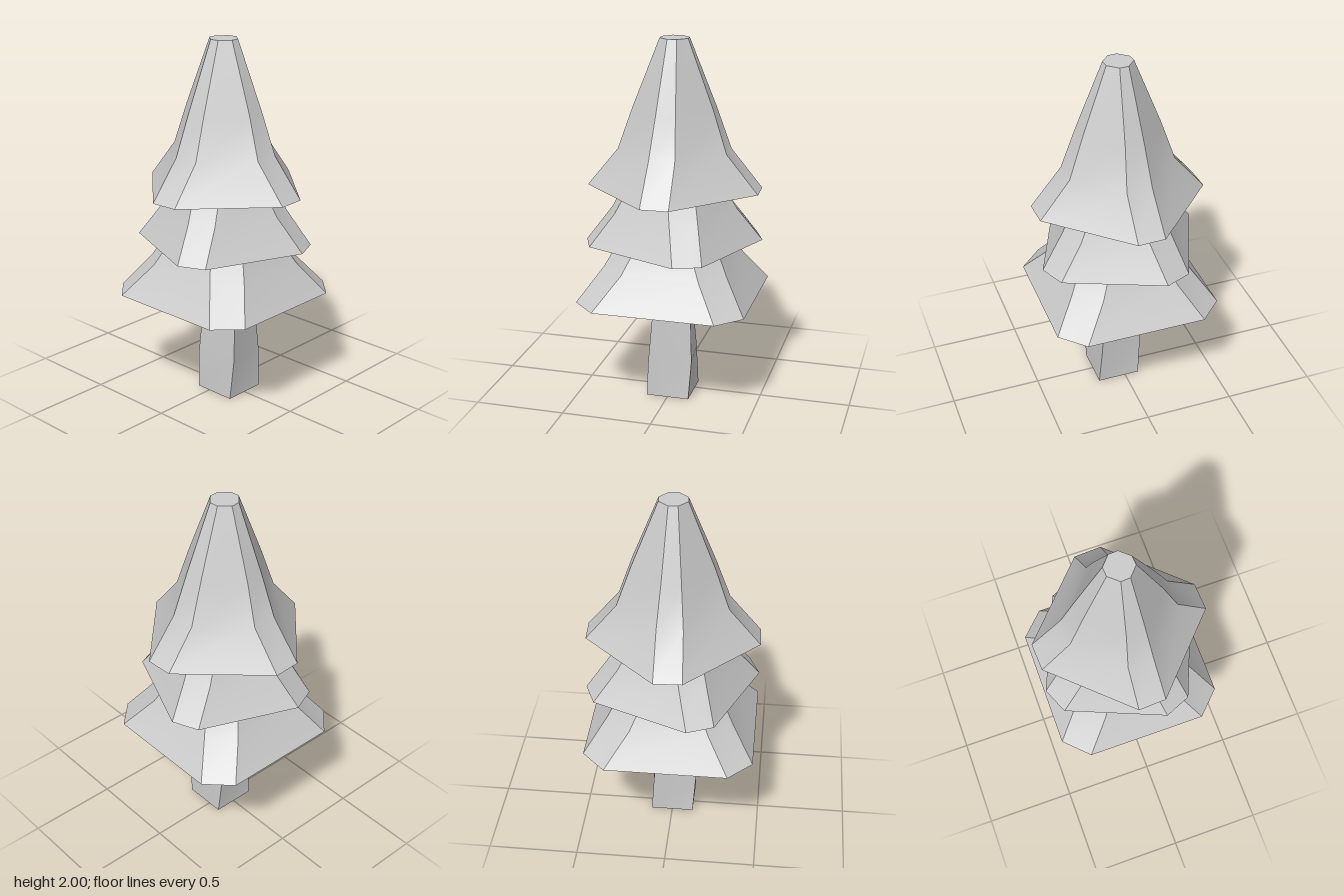
import * as THREE from 'three';
import { toCreasedNormals } from 'three/addons/utils/BufferGeometryUtils.js';

// Skin of stacked rings. Each ring is { y, corners }, where corners [x, z]
// describe the front quarter and are repeated by quarter turns about y.
function quarterLoft(rings, capBottom) {
  const n = rings[0].corners.length * 4;
  const pos = [];
  const idx = [];
  for (const { y, corners } of rings) {
    let quarter = corners;
    for (let q = 0; q < 4; q++) {
      for (const [x, z] of quarter) pos.push(x, y, z);
      quarter = quarter.map(([x, z]) => [z, -x]);
    }
  }
  for (let r = 0; r < rings.length - 1; r++) {
    for (let i = 0; i < n; i++) {
      const a = r * n + i;
      const b = r * n + ((i + 1) % n);
      idx.push(a, b, b + n, a, b + n, a + n);
    }
  }
  // flat ends
  const top = (rings.length - 1) * n;
  for (let i = 1; i < n - 1; i++) {
    idx.push(top, top + i, top + i + 1);
    if (capBottom) idx.push(0, i + 1, i);
  }
  const geo = new THREE.BufferGeometry();
  geo.setAttribute('position', new THREE.Float32BufferAttribute(pos, 3));
  geo.setIndex(idx);
  return toCreasedNormals(geo, 0.5);
}

const ring = (y, ...corners) => ({ y, corners });

export function createModel() {
  const tree = new THREE.Group();
  tree.name = 'pineTree';
  const bark = new THREE.MeshStandardMaterial({ color: 0xcccccc });
  const foliage = new THREE.MeshStandardMaterial({ color: 0xcccccc, side: THREE.DoubleSide });

  // Square trunk, bulging low down and twisting as it rises
  const trunk = new THREE.Mesh(quarterLoft([
    ring(0, [-0.12, 0.12]),
    ring(0.22, [-0.105, 0.135]),
    ring(0.6, [-0.075, 0.118]),
    ring(0.73, [-0.068, 0.112]),
  ], true), bark);
  trunk.name = 'trunk';
  trunk.position.x = 0.04;
  tree.add(trunk);

  // Hollow skirts of branches: squares with cut corners, each turned further
  const tiers = {
    lowerBranches: [
      ring(0.59, [0.335, 0.465], [0.465, 0.335]),
      ring(0.77, [0.22, 0.34], [0.34, 0.205]),
      ring(0.88, [0.17, 0.283], [0.283, 0.155]),
      ring(0.93, [0.15, 0.26], [0.26, 0.135]),
    ],
    middleBranches: [
      ring(0.885, [0.112, 0.47], [0.255, 0.41]),
      ring(1.07, [0.06, 0.335], [0.2, 0.28]),
      ring(1.19, [0.035, 0.275], [0.17, 0.22]),
      ring(1.23, [0.027, 0.255], [0.155, 0.205]),
    ],
    topBranches: [
      ring(1.19, [-0.06, 0.473], [0.092, 0.466]),
      ring(1.4, [-0.06, 0.3], [0.08, 0.296]),
      ring(1.63, [-0.042, 0.222], [0.062, 0.216]),
      ring(2, [-0.02, 0.078], [0.03, 0.074]),
    ],
  };
  for (const [name, rings] of Object.entries(tiers)) {
    const mesh = new THREE.Mesh(quarterLoft(rings, false), foliage);
    mesh.name = name;
    tree.add(mesh);
  }
  return tree;
}
